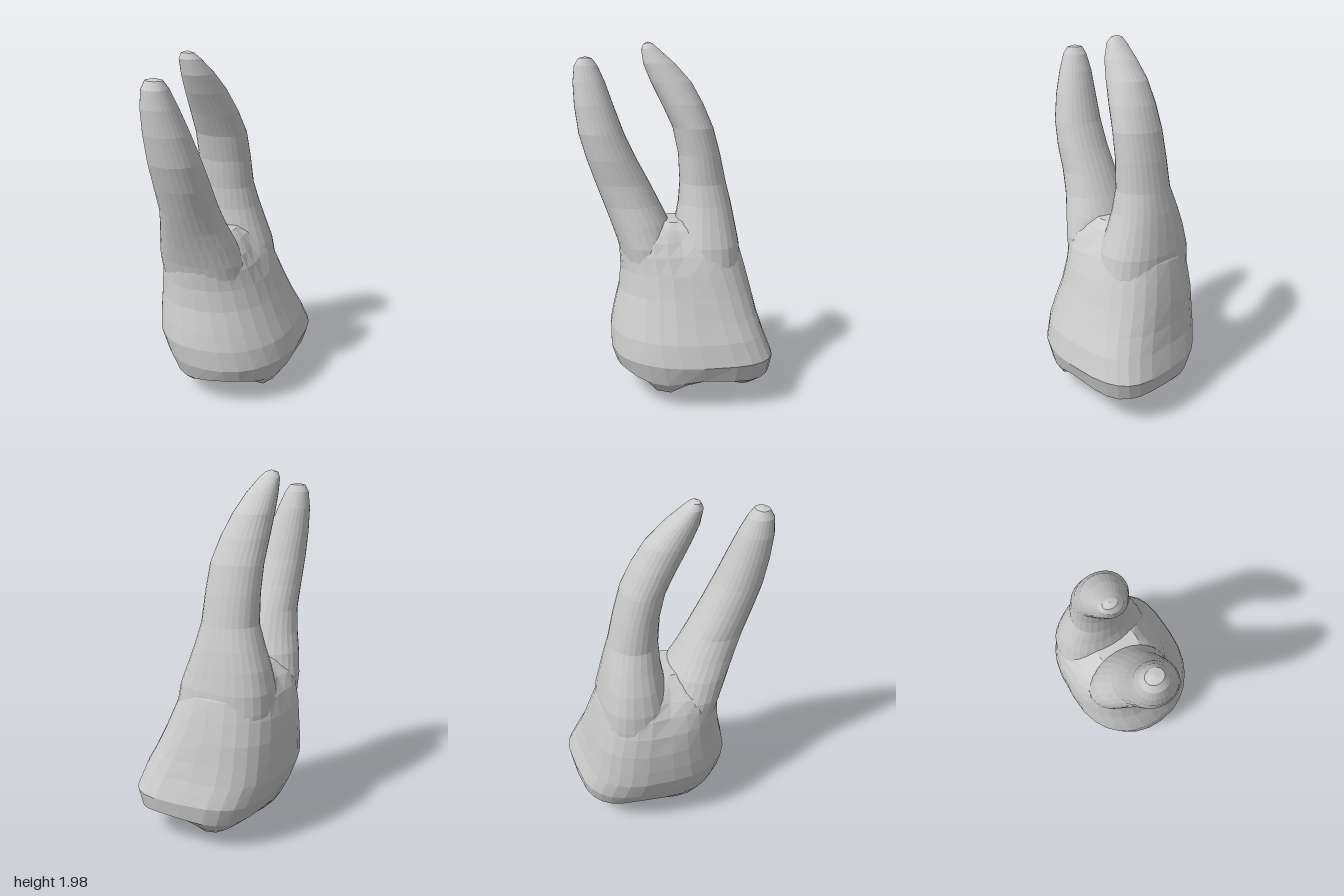
import * as THREE from 'three';

const SEG = 28;
const material = new THREE.MeshStandardMaterial({ color: 0xcccccc, flatShading: true });

// Horizontal superellipse ring within [x0,x1] x [z0,z1].
// n, nb: squareness of front and back halves, skew: shifts z with x,
// pinch: side grooves between the roots
function ring(y, x0, x1, z0, z1, n = 2.1, nb = n, skew = 0, pinch = 0) {
  const pts = [];
  for (let j = 0; j < SEG; j++) {
    const a = (j / SEG) * Math.PI * 2;
    const e = 2 / (Math.sin(a) < 0 ? nb : n);
    const pow = (v) => Math.sign(v) * Math.abs(v) ** e;
    const u = pow(Math.cos(a)), w = pow(Math.sin(a));
    const k = 1 - pinch * Math.exp(-((w / 0.3) ** 2));
    pts.push(new THREE.Vector3(
      (x0 + x1) / 2 + (u * k * (x1 - x0)) / 2,
      y,
      (z0 + z1) / 2 + (w * (z1 - z0)) / 2 - skew * u));
  }
  return pts;
}

// Skin a stack of rings, bottom to top
function loft(name, rings) {
  const pos = [], idx = [];
  rings.forEach((r) => r.forEach((p) => pos.push(p.x, p.y, p.z)));
  for (let i = 0; i < rings.length - 1; i++) {
    for (let j = 0; j < SEG; j++) {
      const k = (j + 1) % SEG;
      const a = i * SEG + j, b = a + SEG, c = i * SEG + k, d = c + SEG;
      idx.push(a, b, c, b, d, c);
    }
  }
  const g = new THREE.BufferGeometry();
  g.setAttribute('position', new THREE.Float32BufferAttribute(pos, 3));
  g.setIndex(idx);
  g.computeVertexNormals();
  const mesh = new THREE.Mesh(g, material);
  mesh.name = name;
  return mesh;
}

// Cusps of the chewing surface: x, z, depth, radius in x, radius in z
const cusps = [
  [-0.13, 0.04, 0.22, 0.17, 0.27],
  [-0.07, -0.36, 0.17, 0.2, 0.15],
  [0.27, 0.06, 0.14, 0.12, 0.17],
  [0.27, -0.36, 0.1, 0.13, 0.15],
];
function chewingHeight(x, z) {
  let sum = 0;
  for (const [cx, cz, depth, rx, rz] of cusps) {
    sum += (depth * Math.exp(-(((x - cx) / rx) ** 2) - ((z - cz) / rz) ** 2)) ** 3;
  }
  return 0.23 - Math.cbrt(sum);
}

export function createModel() {
  const tooth = new THREE.Group();
  tooth.name = 'molar';

  // Chewing surface: rim ring shrunk towards the centre, with cusps
  const rim = ring(0.2, -0.31, 0.375, -0.525, 0.33, 2.2, 3.2, 0.04);
  const centre = new THREE.Vector3(0.04, 0, -0.12);
  const bottom = [0, 0.16, 0.32, 0.48, 0.62, 0.76, 0.89].map((s) =>
    rim.map((p) => {
      const q = centre.clone().lerp(p, s);
      q.y = chewingHeight(q.x, q.z);
      return q;
    }));
  // Wavy rim following the cusps
  rim.forEach((p) => { p.y = 0.11 + 0.4 * chewingHeight(p.x, p.z); });

  // Crown flaring at the base and narrowing to the fork of the roots
  tooth.add(loft('crown', [
    ...bottom,
    rim,
    ring(0.28, -0.36, 0.403, -0.538, 0.36, 2.2, 3.3, 0.04),
    ring(0.4, -0.4, 0.37, -0.495, 0.362, 2.2, 3.2, 0.035),
    ring(0.5, -0.405, 0.325, -0.47, 0.342, 2.2, 3, 0.025),
    ring(0.62, -0.405, 0.275, -0.447, 0.312, 2.2, 2.8, 0.015),
    ring(0.74, -0.397, 0.233, -0.42, 0.3, 2.2, 2.6, 0.01, 0.02),
    ring(0.84, -0.375, 0.195, -0.395, 0.303, 2.2, 2.5, 0, 0.07),
    ring(0.91, -0.345, 0.16, -0.36, 0.29, 2.2, 2.4, 0, 0.15),
    ring(0.97, -0.27, 0.1, -0.24, 0.2, 2.2, 2.3, 0, 0.1),
    ring(1.01, -0.2, 0.04, -0.1, 0.1),
    ring(1.015, -0.08, -0.08, 0, 0),
  ]));

  // Front root, leaning forwards
  const frontRoot = [
    [0.62, -0.33, 0.16, -0.05, 0.25],
    [0.78, -0.345, 0.155, -0.04, 0.287],
    [0.88, -0.345, 0.145, -0.02, 0.312],
    [1.0, -0.32, 0.11, 0.015, 0.352],
    [1.1, -0.288, 0.075, 0.065, 0.388],
    [1.22, -0.26, 0.05, 0.125, 0.432],
    [1.36, -0.255, 0.04, 0.2, 0.48],
    [1.5, -0.255, 0.02, 0.265, 0.52],
    [1.65, -0.255, -0.02, 0.32, 0.54],
    [1.78, -0.25, -0.065, 0.365, 0.545],
    [1.87, -0.235, -0.1, 0.405, 0.535],
    [1.91, -0.215, -0.125, 0.435, 0.51],
    [1.92, -0.17, -0.17, 0.47, 0.47],
  ];
  tooth.add(loft('frontRoot', frontRoot.map((r) => ring(...r))));

  // Back root, taller and curving forwards at the tip
  const backRoot = [
    [0.62, -0.36, 0.21, -0.4, 0.02, 2.2, 2.5],
    [0.78, -0.365, 0.195, -0.395, 0.01, 2.2, 2.5],
    [0.88, -0.358, 0.175, -0.387, 0, 2.2, 2.5],
    [1.0, -0.33, 0.13, -0.365, -0.025, 2.2, 2.4],
    [1.1, -0.295, 0.095, -0.345, -0.043, 2.2, 2.3],
    [1.22, -0.255, 0.065, -0.315, -0.05],
    [1.38, -0.25, 0.055, -0.28, -0.042],
    [1.53, -0.25, 0.045, -0.24, -0.01],
    [1.66, -0.25, 0.015, -0.185, 0.05],
    [1.78, -0.245, -0.025, -0.12, 0.11],
    [1.88, -0.235, -0.065, -0.03, 0.15],
    [1.96, -0.225, -0.11, 0.06, 0.16],
    [1.99, -0.21, -0.14, 0.095, 0.145],
    [2.0, -0.175, -0.175, 0.12, 0.12],
  ];
  tooth.add(loft('backRoot', backRoot.map((r) => ring(...r))));

  return tooth;
}
